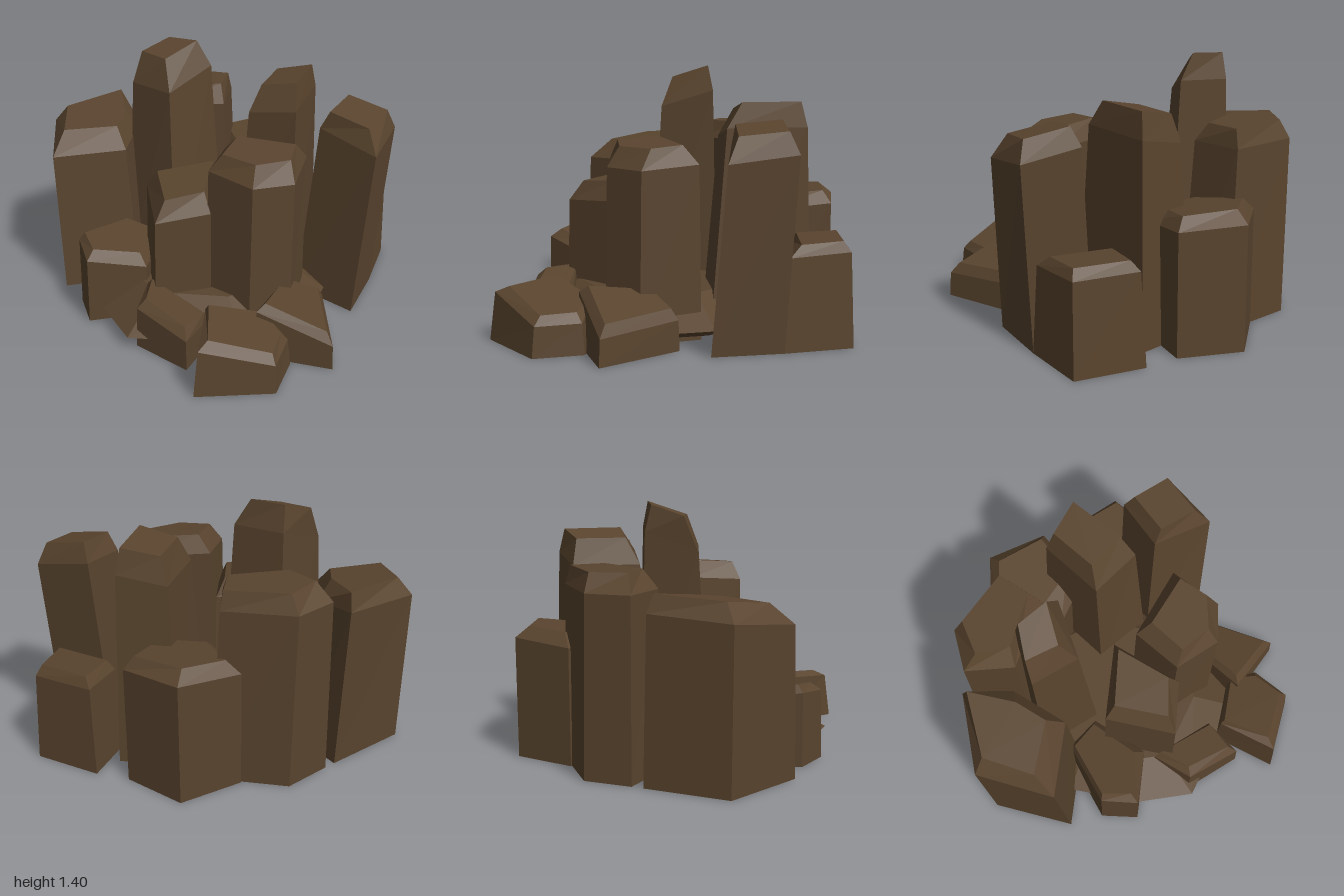
import * as THREE from 'three';

// Double-sided because the columns are open underneath
const brown = new THREE.MeshStandardMaterial({ color: 0x59442e, flatShading: true, side: THREE.DoubleSide });
brown.name = 'brown rock';

// Solid through rings of [x, y, z] corners, listed bottom to top and
// clockwise when seen from above; the underside is optional.
function loft(name, rings, closedBottom) {
  const pos = [];
  const tri = (a, b, c) => pos.push(...a, ...b, ...c);
  const n = rings[0].length;
  for (let r = 0; r < rings.length - 1; r++) {
    const lo = rings[r], hi = rings[r + 1];
    for (let i = 0; i < n; i++) {
      const j = (i + 1) % n;
      tri(lo[j], lo[i], hi[i]);
      tri(lo[j], hi[i], hi[j]);
    }
  }
  const first = rings[0], last = rings[rings.length - 1];
  for (let i = 1; i < n - 1; i++) {
    if (closedBottom) tri(first[0], first[i], first[i + 1]);
    tri(last[0], last[i + 1], last[i]);
  }
  const geo = new THREE.BufferGeometry();
  geo.setAttribute('position', new THREE.Float32BufferAttribute(pos, 3));
  geo.computeVertexNormals();
  const mesh = new THREE.Mesh(geo, brown);
  mesh.name = name;
  return mesh;
}

// Rock column: footprint and top outlines as [x, z], a tilted top plane
// (height y, slopes sx and sz), and a shoulder ring below the chamfer.
function column(name, base, top, { y, sx = 0, sz = 0, drop = 0.1, k = 0.15, lean = [0, 0] }) {
  const cx = top.reduce((s, p) => s + p[0], 0) / top.length;
  const cz = top.reduce((s, p) => s + p[1], 0) / top.length;
  const height = (x, z) => y + sx * (x - cx) + sz * (z - cz);
  const shoulder = base.map(([x, z], i) => {
    const px = x + (top[i][0] - x) * k + lean[0];
    const pz = z + (top[i][1] - z) * k + lean[1];
    return [px, height(px, pz) - drop, pz];
  });
  return loft(name, [
    base.map(([x, z]) => [x, 0, z]),
    shoulder,
    top.map(([x, z]) => [x, height(x, z), z]),
  ], false);
}

export function createModel() {
  const group = new THREE.Group();
  group.name = 'rockCluster';

  // Bevelled slab under the columns
  const slab = [[-0.6, 0.17], [-0.67, -0.3], [-0.41, -0.6], [0.1, -0.7], [0.48, -0.55],
    [0.71, -0.1], [0.7, 0.25], [0.45, 0.6], [-0.15, 0.75], [-0.4, 0.53]];
  const ring = (s, y) => slab.map(([x, z]) => [x * s, y, z * s]);
  group.add(loft('baseSlab', [ring(0.88, 0.03), ring(1, 0.075), ring(0.66, 0.22)], true));

  // Tall columns
  group.add(
    column('leftColumn',
      [[-0.95, -0.12], [-0.65, -0.48], [-0.44, -0.3], [-0.38, 0.06], [-0.75, 0.3]],
      [[-0.9, -0.13], [-0.69, -0.43], [-0.56, -0.2], [-0.53, -0.02], [-0.79, 0.13]],
      { y: 0.955, sx: -0.05, sz: -0.11, drop: 0.1, k: 0.2, lean: [-0.04, 0] }),
    column('tallestColumn',
      [[-0.51, -0.08], [-0.33, -0.41], [0.02, -0.32], [-0.16, 0.03]],
      [[-0.44, -0.2], [-0.33, -0.34], [-0.15, -0.31], [-0.27, -0.13]],
      { y: 1.365, sx: 0.1, sz: -0.3, drop: 0.15, k: 0.5 }),
    column('backLeftColumn',
      [[-0.61, -0.53], [-0.45, -0.74], [-0.04, -0.76], [0.02, -0.44], [-0.4, -0.3]],
      [[-0.52, -0.51], [-0.43, -0.69], [-0.1, -0.72], [-0.08, -0.53], [-0.37, -0.4]],
      { y: 1.07, k: 0.3, lean: [-0.03, 0] }),
    column('innerBackColumn',
      [[0.13, -0.2], [0.16, -0.68], [0.48, -0.71], [0.49, -0.14]],
      [[0.23, -0.34], [0.24, -0.62], [0.44, -0.65], [0.44, -0.32]],
      { y: 1.195, sx: 0.2, drop: 0.14, k: 0.5 }),
    column('rightColumn',
      [[0.53, -0.16], [0.6, -0.45], [0.92, -0.39], [0.89, -0.02]],
      [[0.66, -0.21], [0.71, -0.44], [0.94, -0.39], [0.89, -0.15]],
      { y: 1.11, sx: -0.15, sz: -0.13, drop: 0.11, k: 0.15, lean: [0.06, -0.04] }),
    column('frontRightColumn',
      [[0.14, 0.03], [0.59, -0.06], [0.61, 0.27], [0.42, 0.41], [0.14, 0.33]],
      [[0.23, 0.08], [0.54, 0.03], [0.56, 0.2], [0.41, 0.33], [0.22, 0.3]],
      { y: 1.01, sx: -0.08, sz: -0.07, k: 0.15 }),
    column('frontMiddleColumn',
      [[-0.28, 0.17], [0.1, -0.08], [0.18, 0.35], [-0.08, 0.53]],
      [[-0.2, 0.18], [0.06, -0.01], [0.12, 0.3], [-0.05, 0.44]],
      { y: 0.79, sz: -0.11, drop: 0.1 }),
  );

  // Medium and low rocks around the rim
  group.add(
    column('backRock',
      [[-0.2, -0.76], [0.06, -1], [0.38, -0.86], [0.32, -0.5], [0.03, -0.42]],
      [[-0.12, -0.76], [0.06, -0.92], [0.33, -0.83], [0.27, -0.58], [0.03, -0.55]],
      { y: 0.71, sz: -0.1, drop: 0.07, k: 0 }),
    column('backRightRock',
      [[0.51, -0.56], [0.56, -0.85], [0.92, -0.76], [0.92, -0.38]],
      [[0.57, -0.58], [0.61, -0.79], [0.88, -0.71], [0.87, -0.49]],
      { y: 0.54, sz: -0.05, drop: 0.055, k: 0.35 }),
    column('frontLeftRock',
      [[-0.59, 0.41], [-0.45, 0.05], [-0.22, 0.05], [-0.18, 0.4], [-0.46, 0.58]],
      [[-0.56, 0.39], [-0.44, 0.08], [-0.26, 0.07], [-0.24, 0.36], [-0.45, 0.51]],
      { y: 0.4, sx: -0.25, sz: 0.05, drop: 0.05, k: 0.1 }),
    column('frontRock',
      [[-0.16, 0.45], [0.24, 0.56], [0.21, 0.81], [-0.12, 0.7]],
      [[-0.12, 0.47], [0.22, 0.58], [0.18, 0.75], [-0.08, 0.65]],
      { y: 0.25, sx: -0.2, drop: 0.05 }),
    column('frontRightRock',
      [[0.24, 0.63], [0.53, 0.48], [0.7, 0.57], [0.7, 0.83], [0.32, 1]],
      [[0.27, 0.64], [0.53, 0.5], [0.65, 0.6], [0.66, 0.78], [0.36, 0.9]],
      { y: 0.25, sx: -0.28, drop: 0.04, k: 0.3 }),
    column('rightRock',
      [[0.5, 0.57], [0.53, 0.18], [0.75, 0.1], [0.92, 0.54]],
      [[0.54, 0.52], [0.56, 0.2], [0.73, 0.14], [0.87, 0.5]],
      { y: 0.25, sx: -0.33, sz: 0.08, drop: 0.05 }),
  );

  return group;
}
